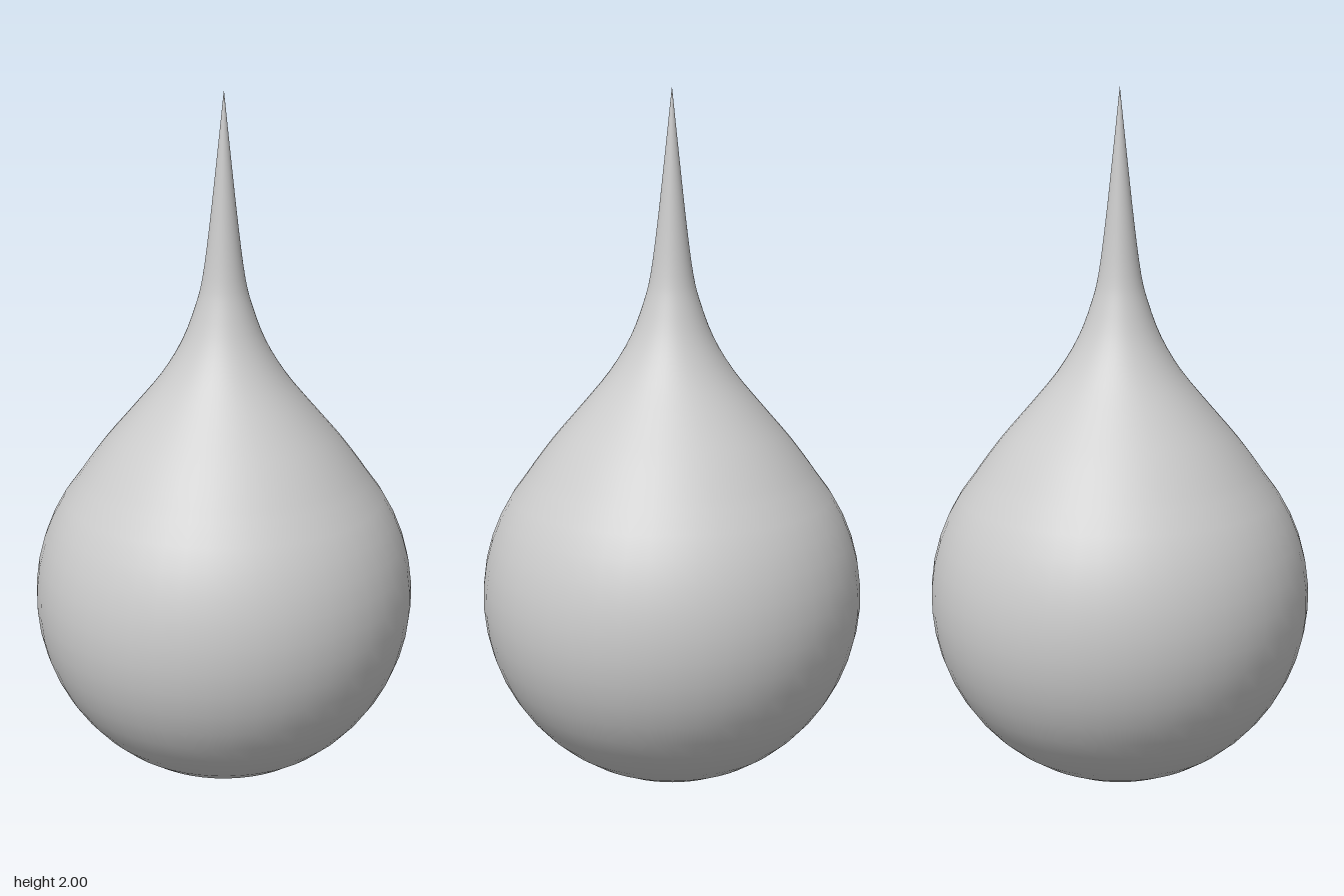
import * as THREE from 'three';

export function createModel() {
  const group = new THREE.Group();
  const radius = 0.547;
  const profile = [];

  // Round belly: a circular arc from the bottom pole to the shoulder
  const steps = 18, shoulder = THREE.MathUtils.degToRad(130);
  for (let i = 0; i <= steps; i++) {
    const a = (i / steps) * shoulder;
    profile.push(new THREE.Vector2(radius * Math.sin(a), radius - radius * Math.cos(a)));
  }

  // Concave neck drawn out into a needle tip
  const neck = new THREE.SplineCurve([
    [0.419, 0.9], [0.345, 1.0], [0.26, 1.1], [0.178, 1.2], [0.118, 1.3], [0.08, 1.4],
    [0.06, 1.48], [0.041, 1.62], [0.02, 1.81], [0, 2],
  ].map(([x, y]) => new THREE.Vector2(x, y)));
  profile.push(...neck.getPoints(27).slice(1));
  profile[profile.length - 1].set(0, 2);

  const drop = new THREE.Mesh(
    new THREE.LatheGeometry(profile, 48),
    new THREE.MeshStandardMaterial({ color: 0xcccccc }),
  );
  drop.name = 'drop';
  group.add(drop);
  return group;
}
